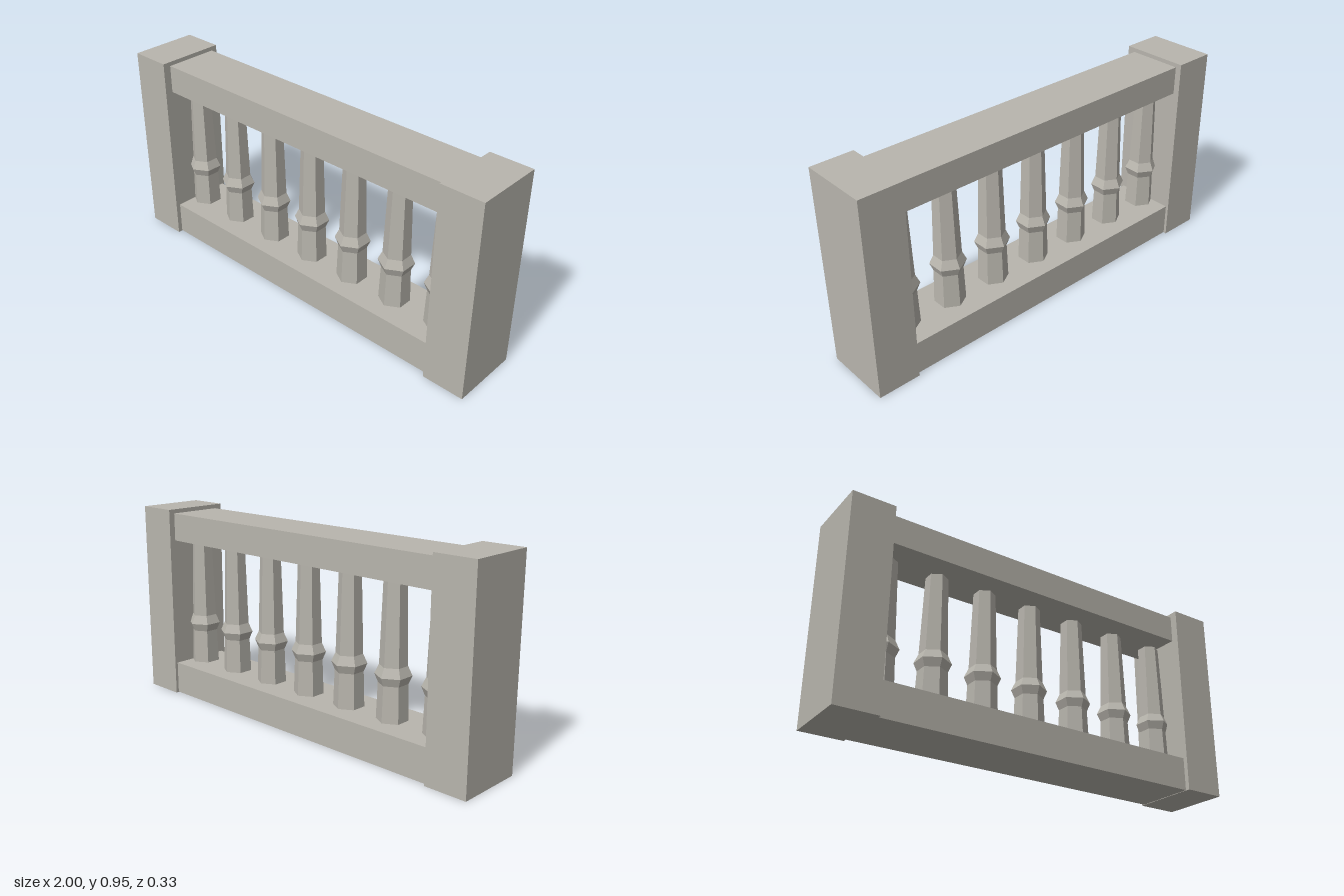
import * as THREE from 'three';

export function createModel() {
  const model = new THREE.Group();
  model.name = 'balustrade';
  const stone = new THREE.MeshStandardMaterial({ color: 0xb8b5ad, flatShading: true });
  stone.name = 'grey stone';
  const railZ = -0.004;

  const addBox = (name, w, h, d, x, bottom, z) => {
    const mesh = new THREE.Mesh(new THREE.BoxGeometry(w, h, d), stone);
    mesh.name = name;
    mesh.position.set(x, bottom + h / 2, z);
    model.add(mesh);
  };

  // End posts
  addBox('leftPost', 0.2, 0.95, 0.33, 0.9, 0, 0);
  addBox('rightPost', 0.2, 0.95, 0.33, -0.9, 0, 0);

  // Rails between the posts
  addBox('bottomRail', 1.6, 0.158, 0.294, 0, 0.002, railZ);
  addBox('topRail', 1.6, 0.135, 0.262, 0, 0.795, railZ);

  // Hexagonal balusters: [half width across flats, height]
  const profile = [
    [0, 0.155], [0.062, 0.155], [0.057, 0.325], [0.071, 0.363],
    [0.054, 0.405], [0.044, 0.78], [0, 0.78],
  ].map(([flat, y]) => new THREE.Vector2(flat / Math.cos(Math.PI / 6), y));
  const balusterGeometry = new THREE.LatheGeometry(profile, 6);

  for (let i = -3; i <= 3; i++) {
    const baluster = new THREE.Mesh(balusterGeometry, stone);
    baluster.name = `baluster${i + 4}`;
    baluster.position.set(i * 0.25, 0, railZ);
    model.add(baluster);
  }
  return model;
}
